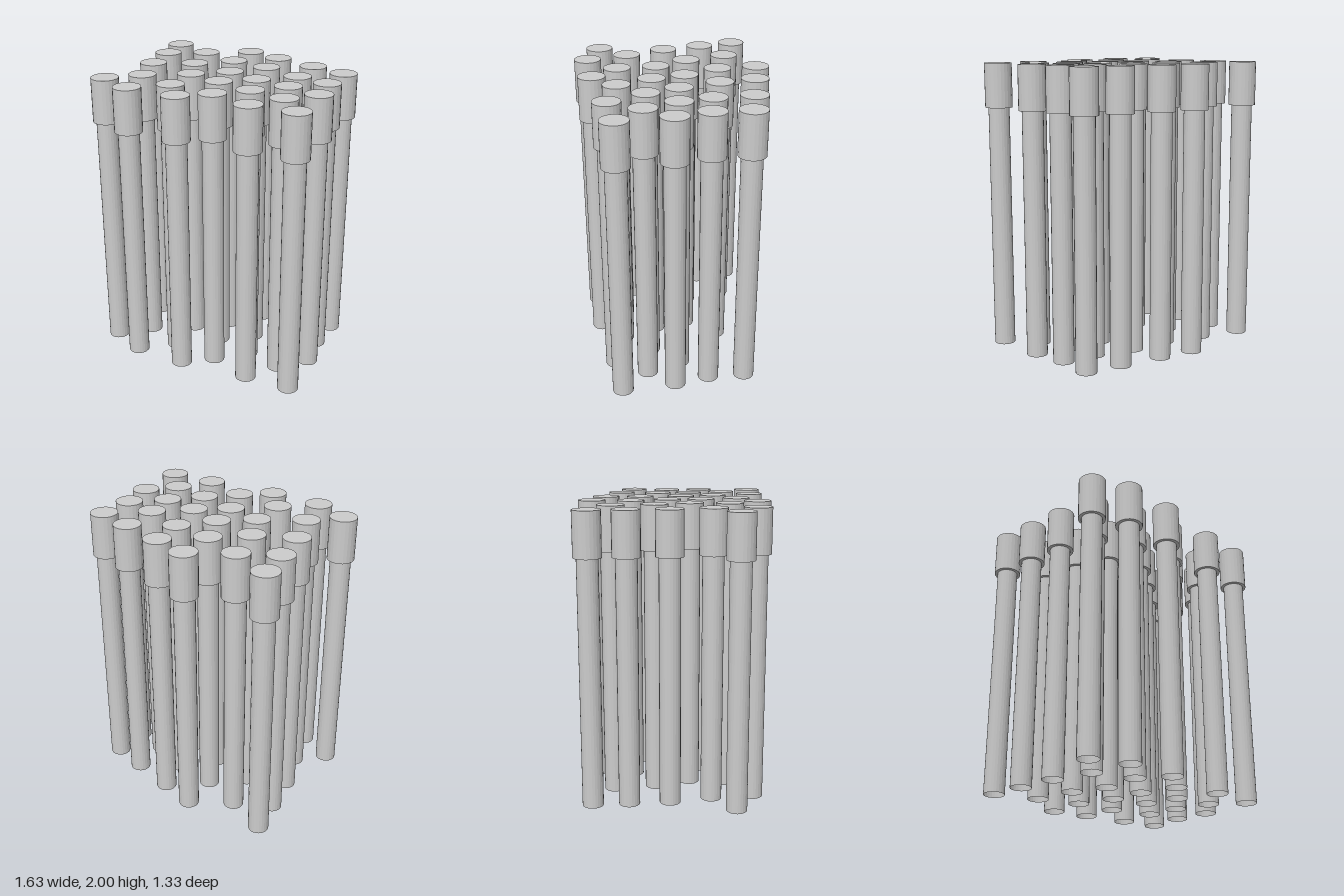
import * as THREE from 'three';

const SIDES = 24;
const SHAFT_R = 0.072, CAP_R = 0.094;
const CAP_Y = 1.695, TOP_Y = 2;

// Plan positions (x, z) of the posts, back to front
const SPOTS = [
  [-0.61, -0.575], [-0.05, -0.571], [-0.342, -0.433], [0.19, -0.483], [0.482, -0.378],
  [0.722, -0.288], [-0.597, -0.328], [-0.077, -0.305], [0.19, -0.239], [-0.308, -0.146],
  [-0.581, -0.051], [-0.006, -0.051], [0.455, -0.112], [0.682, -0.039], [0.223, 0.049],
  [-0.231, 0.092], [0.466, 0.114], [0.007, 0.18], [0.698, 0.204], [-0.525, 0.232],
  [0.267, 0.281], [-0.259, 0.358], [0.521, 0.358], [-0.724, 0.391], [0.068, 0.431],
  [-0.492, 0.52], [-0.132, 0.558], [0.355, 0.553], [0.671, 0.569],
];

export function createModel() {
  const model = new THREE.Group();
  model.name = 'postCluster';

  const material = new THREE.MeshStandardMaterial({
    color: 0xcccccc, flatShading: true, side: THREE.DoubleSide,
  });

  // Hollow shaft, open at the foot
  const shaftGeometry = new THREE.CylinderGeometry(SHAFT_R, SHAFT_R, CAP_Y, SIDES, 1, true);
  shaftGeometry.translate(0, CAP_Y / 2, 0);

  // Wider cap: underside ring, wall and flat top
  const capGeometry = new THREE.LatheGeometry([
    new THREE.Vector2(SHAFT_R, CAP_Y),
    new THREE.Vector2(CAP_R, CAP_Y),
    new THREE.Vector2(CAP_R, TOP_Y),
    new THREE.Vector2(0, TOP_Y),
  ], SIDES);

  SPOTS.forEach(([x, z], i) => {
    const post = new THREE.Group();
    post.name = `post${i + 1}`;
    const shaft = new THREE.Mesh(shaftGeometry, material);
    shaft.name = 'shaft';
    const cap = new THREE.Mesh(capGeometry, material);
    cap.name = 'cap';
    post.add(shaft, cap);
    post.position.set(x, 0, z);
    model.add(post);
  });

  return model;
}
